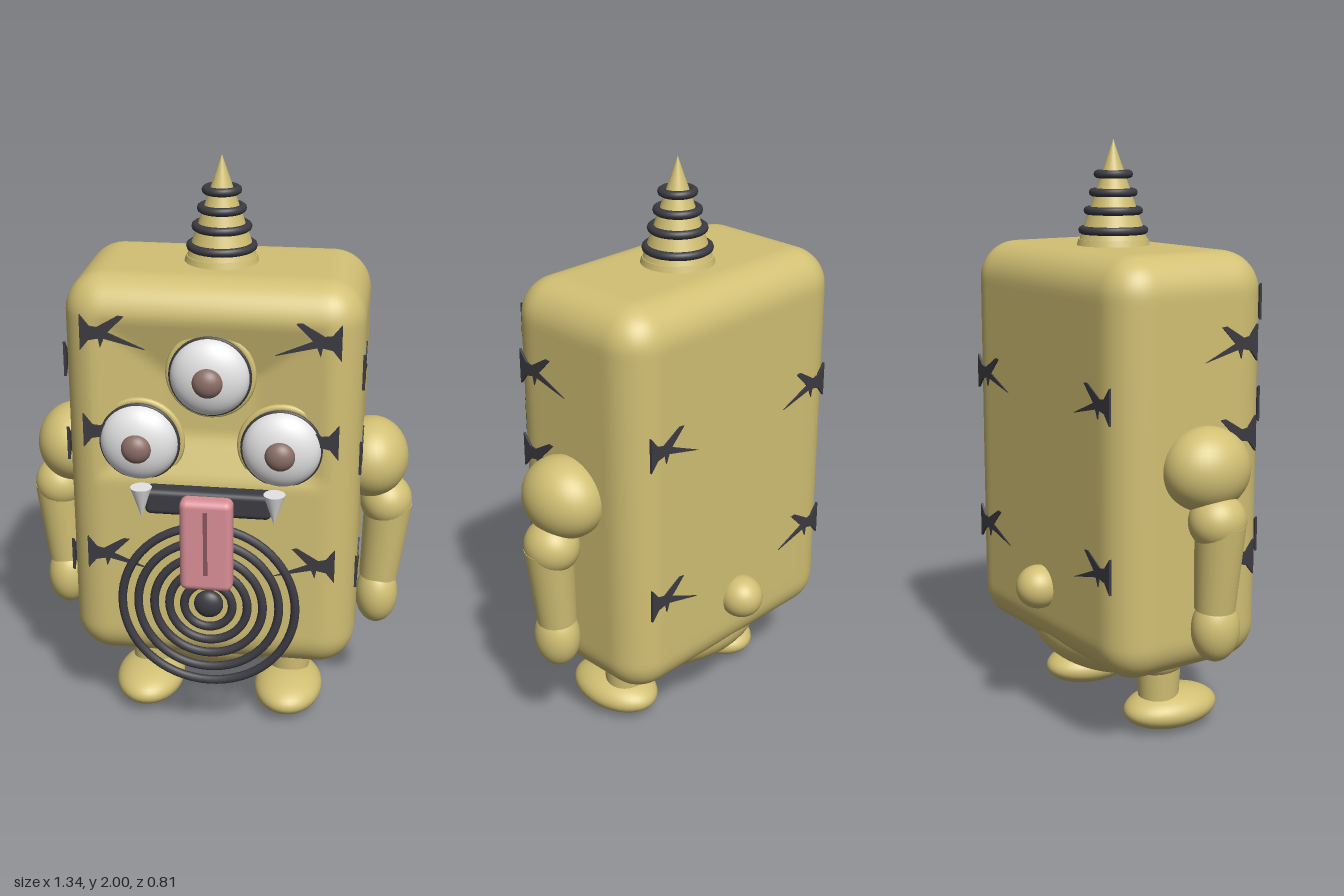
import * as THREE from 'three';
import { mergeVertices } from 'three/addons/utils/BufferGeometryUtils.js';
import { RoundedBoxGeometry } from 'three/addons/geometries/RoundedBoxGeometry.js';

const paint = (name, color) => {
  const m = new THREE.MeshStandardMaterial({ color });
  m.name = name;
  return m;
};

export function createModel() {
  const skin = paint('mustard skin', 0xd2c074);
  const dark = paint('charcoal', 0x3b3b42);
  const white = paint('eye white', 0xe4e4e4);
  const brown = paint('iris brown', 0x8a6e66);
  const pink = paint('tongue pink', 0xd98f97);
  const groovePink = paint('tongue groove', 0x8c5660);

  const model = new THREE.Group();
  model.name = 'creature';

  const add = (name, geometry, material, x = 0, y = 0, z = 0) => {
    const mesh = new THREE.Mesh(geometry, material);
    mesh.name = name;
    mesh.position.set(x, y, z);
    model.add(mesh);
    return mesh;
  };
  const ball = new THREE.SphereGeometry(1, 36, 24);
  const blob = (name, material, [x, y, z], [rx, ry, rz]) => {
    const mesh = add(name, ball, material, x, y, z);
    mesh.scale.set(rx, ry, rz);
    return mesh;
  };

  // Body: rounded block with a shallow faceted hollow around the eyes
  const half = new THREE.Vector3(0.49, 0.6925, 0.2975);
  const center = new THREE.Vector3(0, 0.9575, -0.0125);
  const radius = 0.13;
  let body = new THREE.BoxGeometry(half.x * 2, half.y * 2, half.z * 2, 48, 66, 28);
  body.deleteAttribute('uv');
  body.deleteAttribute('normal');
  body = mergeVertices(body);
  const inner = half.clone().subScalar(radius);
  const low = inner.clone().negate();
  const pos = body.attributes.position;
  const p = new THREE.Vector3();
  for (let i = 0; i < pos.count; i++) {
    p.fromBufferAttribute(pos, i);
    const core = p.clone().clamp(low, inner);
    p.sub(core).setLength(radius).add(core).add(center);
    if (p.z > 0.2) {
      const d = Math.min((0.39 - Math.abs(p.x)) / 0.24, (1.53 - p.y) / 0.2, (p.y - 0.97) / 0.15, 1);
      p.z -= 0.06 * Math.max(0, d);
    }
    pos.setXYZ(i, p.x, p.y, p.z);
  }
  body.computeVertexNormals();
  add('body', body, skin);
  blob('belly', skin, [0, 0.32, -0.025], [0.33, 0.16, 0.26]);
  blob('tail', skin, [0, 0.5, -0.325], [0.075, 0.075, 0.078]);

  // Horn with dark rings
  add('horn', new THREE.ConeGeometry(0.125, 0.36, 40), skin, 0, 1.82, -0.015);
  for (const [y, r] of [[1.70, 0.118], [1.765, 0.1], [1.825, 0.082], [1.885, 0.066]]) {
    const ring = add('hornRing', new THREE.TorusGeometry(r - 0.014, 0.014, 10, 40), dark, 0, y, -0.015);
    ring.rotation.x = Math.PI / 2;
  }
  // collar seat under the horn
  add('hornBase', new THREE.CylinderGeometry(0.118, 0.126, 0.03, 40), skin, 0, 1.655, -0.015);

  // Three eyes
  for (const [x, y] of [[0, 1.345], [-0.235, 1.105], [0.235, 1.105]]) {
    blob('eye', white, [x, y, 0.275], [0.13, 0.13, 0.07]);
    add('eyeRim', new THREE.TorusGeometry(0.129, 0.007, 8, 44), dark, x, y, 0.275);
    add('eyeSocket', new THREE.TorusGeometry(0.137, 0.012, 8, 44), skin, x, y, 0.255);
    blob('iris', brown, [x, y, 0.335], [0.05, 0.05, 0.038]);
  }

  // Mouth, tongue and fangs
  add('mouth', new RoundedBoxGeometry(0.42, 0.09, 0.07, 4, 0.02), dark, 0, 0.92, 0.315);
  add('tongue', new RoundedBoxGeometry(0.176, 0.33, 0.07, 4, 0.025), pink, 0, 0.79, 0.367);
  add('tongueGroove', new THREE.BoxGeometry(0.014, 0.23, 0.006), groovePink, 0, 0.805, 0.402);
  for (const s of [-1, 1]) {
    const fang = add('fang', new THREE.ConeGeometry(0.036, 0.11, 24), white, s * 0.22, 0.918, 0.345);
    fang.rotation.x = Math.PI;
  }

  // Concentric rings on the tummy
  for (const r of [0.295, 0.24, 0.185, 0.133, 0.082]) {
    add('tummyRing', new THREE.TorusGeometry(r, 0.015, 10, 64), dark, 0, 0.54, 0.335);
  }
  blob('tummyButton', dark, [0, 0.54, 0.325], [0.05, 0.05, 0.03]);

  // Limbs, mirrored
  for (const s of [-1, 1]) {
    blob('shoulder', skin, [s * 0.52, 0.975, -0.008], [0.128, 0.138, 0.152]);
    blob('elbow', skin, [s * 0.578, 0.815, -0.005], [0.09, 0.092, 0.097]);
    const forearm = add('forearm', new THREE.CylinderGeometry(0.083, 0.067, 0.29, 32), skin, s * 0.575, 0.665, 0);
    forearm.rotation.z = -s * 0.08;
    blob('hand', skin, [s * 0.56, 0.45, 0.007], [0.075, 0.11, 0.083]);

    blob('knee', skin, [s * 0.255, 0.265, -0.005], [0.092, 0.075, 0.095]);
    add('ankle', new THREE.CylinderGeometry(0.078, 0.07, 0.16, 32), skin, s * 0.255, 0.19, 0);
    blob('foot', skin, [s * 0.255, 0.07, 0.05], [0.123, 0.07, 0.178]);
  }

  // Splintered markings: base at the body's edge, prongs pointing along local +x
  const outline = [
    [0, -0.06], [0.028, -0.025], [0.06, -0.018], [0.066, -0.048], [0.078, -0.018],
    [0.21, -0.05], [0.09, 0.002], [0.145, 0.058], [0.125, 0.06], [0.055, 0.018],
    [0.03, 0.022], [0, 0.06],
  ];
  const markShape = (mirror) =>
    new THREE.Shape(outline.map(([x, y]) => new THREE.Vector2(mirror * x, y)));
  const markGeometry = {};
  for (const m of [-1, 1]) {
    markGeometry[m] = new THREE.ExtrudeGeometry(markShape(m), { depth: 0.009, bevelEnabled: false });
  }
  for (const s of [-1, 1]) {
    for (const y of [1.48, 1.14, 0.69]) {
      add('frontMark', markGeometry[-s], dark, s * 0.42, y, 0.28);
    }
    for (const y of [1.36, 1.06, 0.64]) {
      const mark = add('sideMark', markGeometry[s], dark, s * 0.485, y, 0.215);
      mark.rotation.y = s * Math.PI / 2;
    }
    for (const y of [1.19, 0.64]) {
      const mark = add('backMark', markGeometry[s], dark, s * 0.42, y, -0.305);
      mark.rotation.y = Math.PI;
    }
  }

  return model;
}
